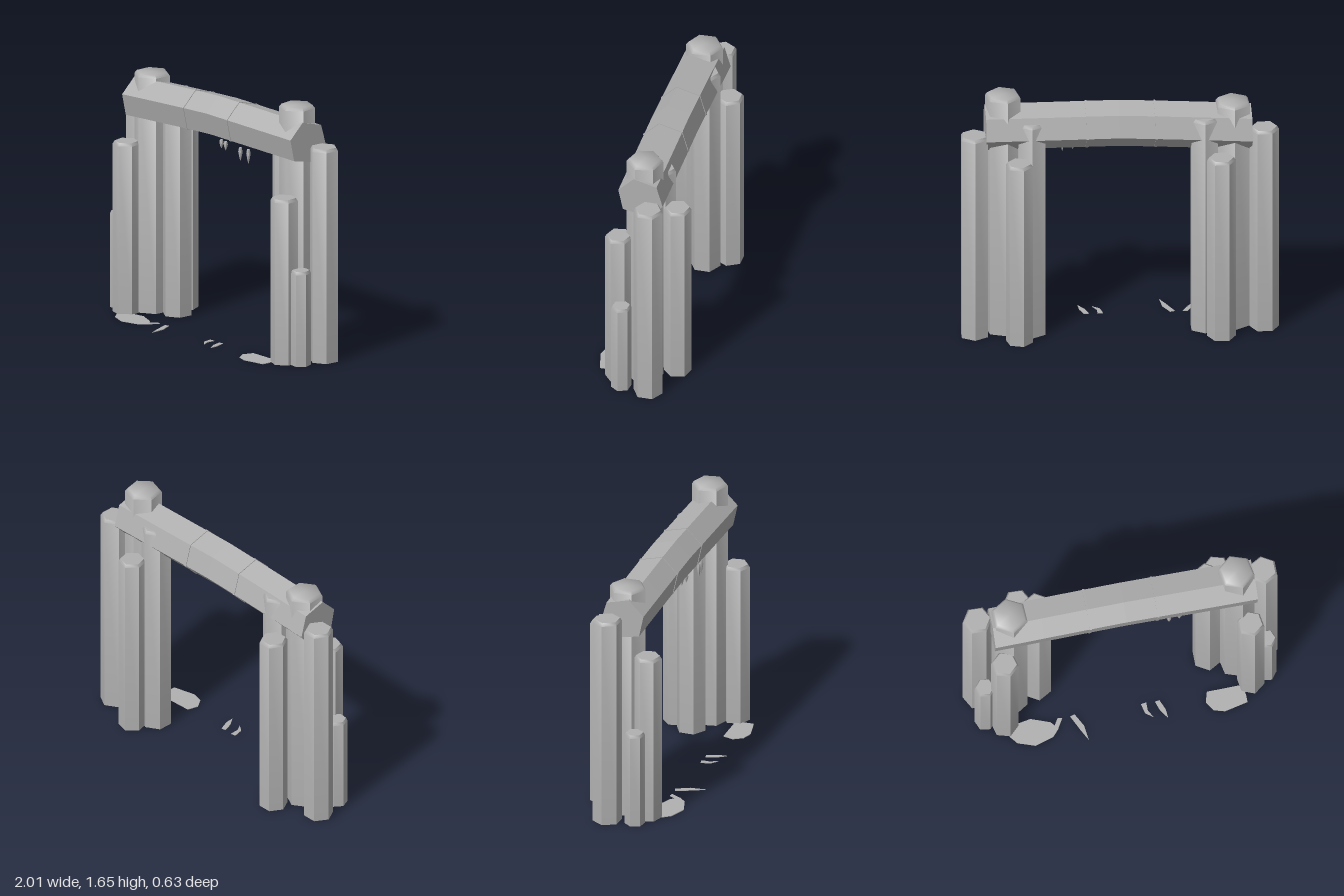
import * as THREE from 'three';
import { toCreasedNormals } from 'three/addons/utils/BufferGeometryUtils.js';

const stone = new THREE.MeshStandardMaterial({ color: 0xb0b0b0 });
stone.name = 'grey stone';

function addMesh(parent, name, geometry) {
  const mesh = new THREE.Mesh(geometry, stone);
  mesh.name = name;
  parent.add(mesh);
  return mesh;
}

// Six-sided pillar with a softened top rim
function pillarGeometry(r, h) {
  const points = [[0, 0], [r, 0], [r, h - 0.02], [r * 0.86, h], [0, h]];
  const lathe = new THREE.LatheGeometry(points.map(([x, y]) => new THREE.Vector2(x, y)), 6);
  return toCreasedNormals(lathe, 1.0);
}

// Six-sided beam outline as [z, y], from the front ridge over the top to the back
const section = [[0.1, 1.46], [0, 1.56], [-0.15, 1.52], [-0.19, 1.38], [-0.1, 1.285], [0.07, 1.32]];

// How far the beam sags at x
const sag = (x) => (x < 0 ? 0.05 * Math.pow(-x / 0.84, 1.1) : 0);

// Closed faceted solid through the beam outline at each x, scaled about its middle
function beamGeometry(stations, scale = 1) {
  const rings = stations.map((x) => section.map(([z, y]) =>
    [x, 1.42 + (y - 1.42) * scale - sag(x), -0.04 + (z + 0.04) * scale]));
  const n = section.length;
  const out = [];
  for (let i = 0; i < rings.length - 1; i++) {
    for (let j = 0; j < n; j++) {
      const k = (j + 1) % n;
      const [a, b, c, d] = [rings[i][j], rings[i][k], rings[i + 1][k], rings[i + 1][j]];
      out.push(...a, ...d, ...c, ...a, ...c, ...b);
    }
  }
  const first = rings[0], last = rings[rings.length - 1];
  for (let j = 1; j < n - 1; j++) {
    out.push(...first[0], ...first[j], ...first[j + 1]);
    out.push(...last[0], ...last[j + 1], ...last[j]);
  }
  const geometry = new THREE.BufferGeometry();
  geometry.setAttribute('position', new THREE.Float32BufferAttribute(out, 3));
  geometry.computeVertexNormals();
  return geometry;
}

// Thin flat patch on the ground from [x, z] corners
function patchGeometry(corners) {
  const shape = new THREE.Shape(corners.map(([x, z]) => new THREE.Vector2(x, -z)));
  const geometry = new THREE.ExtrudeGeometry(shape, { depth: 0.004, bevelEnabled: false });
  return geometry.rotateX(-Math.PI / 2);
}

export function createModel() {
  const model = new THREE.Group();
  model.name = 'stoneGateway';

  // Clustered pillars: x, z, radius, height, turn
  const clusters = {
    rightPillars: [
      [-0.92, -0.115, 0.094, 1.4, 0.5],
      [-0.905, 0.065, 0.065, 0.63, 0.4],
      [-0.785, 0.11, 0.088, 1.12, 0.25],
      [-0.64, -0.24, 0.091, 1.25, 0.5],
      [-0.54, -0.105, 0.097, 1.48, 0],
      [-0.725, -0.05, 0.118, 1.56, 0.05],
    ],
    leftPillars: [
      [0.918, -0.115, 0.095, 1.4, 0],
      [0.905, 0.065, 0.065, 0.62, 0.4],
      [0.795, 0.11, 0.088, 1.08, 0.15],
      [0.64, -0.235, 0.088, 1.25, 0.25],
      [0.555, -0.105, 0.097, 1.48, 0],
      [0.732, -0.045, 0.116, 1.65, 0.2],
    ],
  };
  for (const [name, pillars] of Object.entries(clusters)) {
    const group = new THREE.Group();
    group.name = name;
    for (const [x, z, r, h, turn] of pillars) {
      const pillar = addMesh(group, 'pillar', pillarGeometry(r, h));
      pillar.position.set(x, 0, z);
      pillar.rotation.y = turn;
    }
    model.add(group);
  }

  // Lintel with two narrow raised seams
  addMesh(model, 'lintel', beamGeometry([-0.842, -0.53, -0.23, 0, 0.845]));
  for (const x of [-0.232, 0.205]) {
    addMesh(model, 'lintelSeam', beamGeometry([x - 0.007, x + 0.007], 1.03));
  }

  // Hanging drips: x, z, length
  for (const [x, z, length] of [[0.055, 0.02, 0.06], [0.11, 0.03, 0.06], [0.282, 0.05, 0.09], [0.35, 0.04, 0.095]]) {
    const profile = [[0, -1], [0.008, -0.7], [0.015, -0.3], [0.01, 0], [0, 0.05]];
    const points = profile.map(([r, y]) => new THREE.Vector2(r, y * length));
    const drip = addMesh(model, 'drip', toCreasedNormals(new THREE.LatheGeometry(points, 6), 0.8));
    drip.position.set(x, 1.288, z);
  }

  // Flat patches and slivers lying on the ground
  const patches = [
    [[-0.77, 0.14], [-0.7, 0.12], [-0.62, 0.105], [-0.5, 0.15], [-0.455, 0.2], [-0.5, 0.25], [-0.62, 0.288], [-0.73, 0.25], [-0.77, 0.2]],
    [[-0.485, 0.19], [-0.45, 0.13], [-0.42, 0.135], [-0.455, 0.195]],
    [[0.51, 0.13], [0.49, 0.2], [0.53, 0.26], [0.6, 0.28], [0.75, 0.245], [0.75, 0.2], [0.74, 0.125]],
    [[-0.37, 0.135], [-0.34, 0.125], [-0.295, 0.21], [-0.283, 0.31], [-0.32, 0.24]],
    [[0.085, 0.135], [0.12, 0.13], [0.12, 0.185], [0.148, 0.235], [0.1, 0.2]],
    [[0.175, 0.135], [0.205, 0.13], [0.233, 0.2], [0.238, 0.258], [0.197, 0.2]],
  ];
  for (const corners of patches) addMesh(model, 'groundPatch', patchGeometry(corners));

  return model;
}
